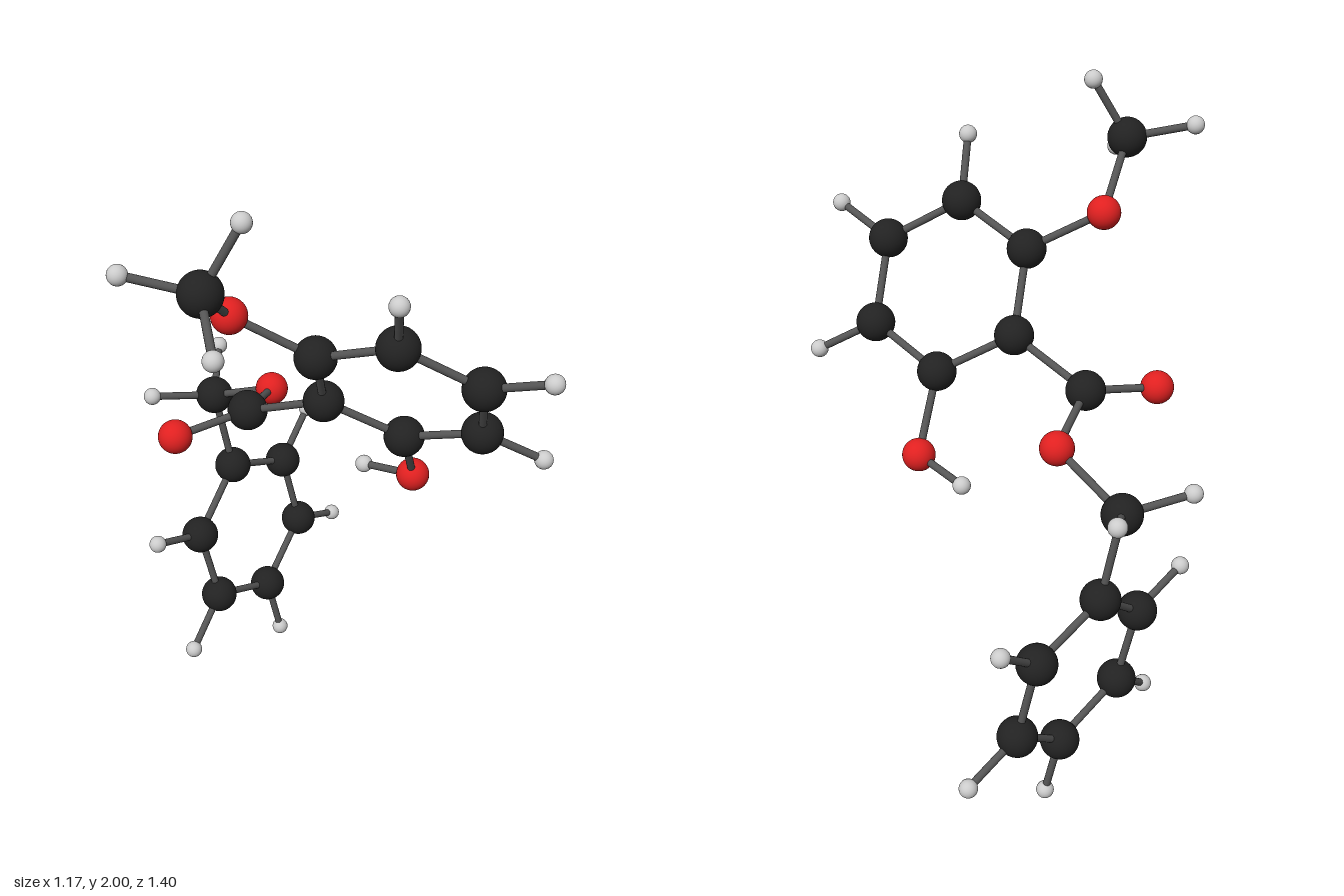
import * as THREE from 'three';

// Ball types: radius and colour
const BALLS = {
  carbon: { radius: 0.059, color: 0x222222 },
  oxygen: { radius: 0.05, color: 0xe02020 },
  hydrogen: { radius: 0.027, color: 0xcccccc },
};
const BOND_RADIUS = 0.0115;

// Each atom: [x, y, z, index of the atom it is bonded to] within its chain
const CARBONS = {
  methyl: [-0.381, 1.797, 0.309],
  a1: [-0.044, 1.514, 0.238], a2: [0.097, 1.611, 0.436], a3: [0.31, 1.487, 0.517],
  a4: [0.388, 1.268, 0.4], a5: [0.252, 1.174, 0.2], a6: [0.034, 1.297, 0.119],
  carbonyl: [-0.118, 1.19, -0.085],
  methylene: [-0.081, 1.016, -0.486],
  b1: [-0.028, 0.738, -0.477], b2: [0.193, 0.641, -0.578], b3: [0.247, 0.387, -0.565],
  b4: [0.078, 0.228, -0.445], b5: [-0.14, 0.323, -0.34], b6: [-0.193, 0.577, -0.356],
};
const OXYGENS = {
  methoxyO: [-0.25, 1.635, 0.145],
  hydroxylO: [0.342, 0.958, 0.098],
  carbonylO: [-0.346, 1.159, -0.076],
  esterO: [0.034, 1.128, -0.274],
};
// Hydrogens: parent atom, then position
const HYDROGENS = [
  ['methyl', -0.278, 1.973, 0.328], ['methyl', -0.56, 1.842, 0.221], ['methyl', -0.417, 1.712, 0.489],
  ['a2', 0.046, 1.783, 0.53], ['a3', 0.418, 1.56, 0.672], ['a4', 0.556, 1.175, 0.463],
  ['hydroxylO', 0.254, 0.924, -0.059],
  ['methylene', -0.285, 1.05, -0.498], ['methylene', 0, 1.096, -0.656],
  ['b2', 0.324, 0.767, -0.673], ['b3', 0.415, 0.313, -0.645], ['b4', 0.119, 0.028, -0.431],
  ['b5', -0.27, 0.196, -0.244], ['b6', -0.364, 0.645, -0.27],
];
const BONDS = [
  ['methyl', 'methoxyO'], ['methoxyO', 'a1'], ['a5', 'hydroxylO'], ['a6', 'carbonyl'],
  ['carbonyl', 'carbonylO'], ['carbonyl', 'esterO'], ['esterO', 'methylene'], ['methylene', 'b1'],
];

export function createModel() {
  const model = new THREE.Group();
  model.name = 'molecule';
  const atoms = {};
  const bondMaterial = new THREE.MeshStandardMaterial({ color: 0x555555 });
  const kinds = {};
  for (const [kind, { radius, color }] of Object.entries(BALLS)) {
    kinds[kind] = {
      geometry: new THREE.SphereGeometry(radius, 32, 20),
      material: new THREE.MeshStandardMaterial({ color }),
    };
  }

  const addAtom = (kind, key, position) => {
    const ball = new THREE.Mesh(kinds[kind].geometry, kinds[kind].material);
    ball.name = `${kind}Atom_${key}`;
    ball.position.set(...position);
    model.add(ball);
    atoms[key] = ball.position;
  };

  // Rod running between two atom centres
  const up = new THREE.Vector3(0, 1, 0);
  const addBond = (from, to) => {
    const direction = atoms[to].clone().sub(atoms[from]);
    const rod = new THREE.Mesh(
      new THREE.CylinderGeometry(BOND_RADIUS, BOND_RADIUS, direction.length(), 16, 1, true), bondMaterial);
    rod.name = `bond_${from}_${to}`;
    rod.position.copy(atoms[from]).addScaledVector(direction, 0.5);
    rod.quaternion.setFromUnitVectors(up, direction.normalize());
    model.add(rod);
  };

  for (const [key, p] of Object.entries(CARBONS)) addAtom('carbon', key, p);
  for (const [key, p] of Object.entries(OXYGENS)) addAtom('oxygen', key, p);

  // Chain bonds, then the two six-sided rings
  BONDS.forEach(([from, to]) => addBond(from, to));
  for (const ring of ['a', 'b']) {
    for (let i = 0; i < 6; i++) addBond(`${ring}${i + 1}`, `${ring}${(i + 1) % 6 + 1}`);
  }

  // Hydrogens with their bonds
  HYDROGENS.forEach(([parent, ...position], i) => {
    addAtom('hydrogen', `h${i + 1}`, position);
    addBond(parent, `h${i + 1}`);
  });
  return model;
}
